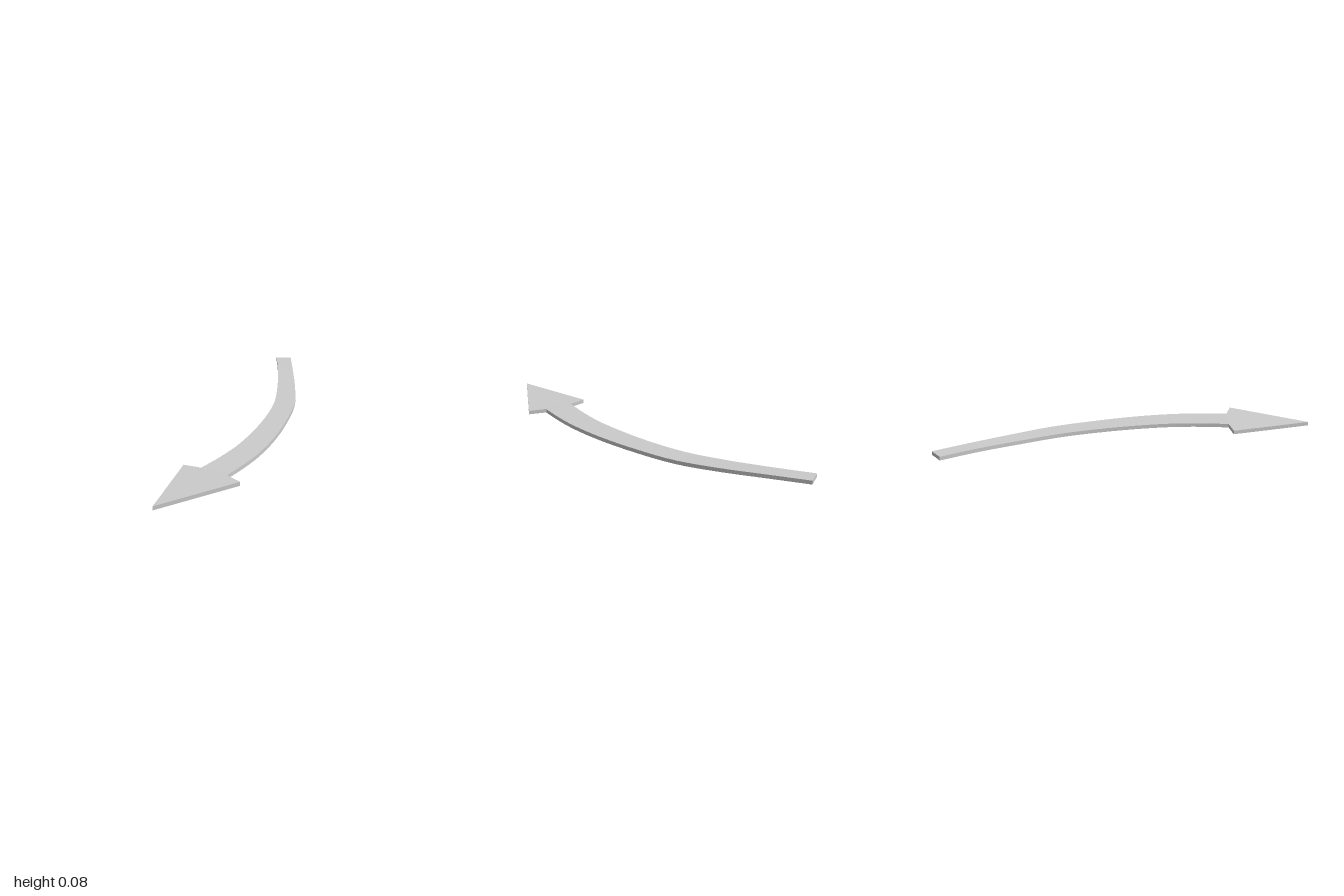
import * as THREE from 'three';
import { toCreasedNormals } from 'three/addons/utils/BufferGeometryUtils.js';

const THICK = 0.023;
const STEPS = 32;

// Stations from tail to neck: inner edge x, z, outer edge x, z, underside height
const STATIONS = [
  [0.925, -0.66, 1.0, -0.6, 0.06],
  [0.76, -0.46, 0.84, -0.4, 0.05],
  [0.59, -0.275, 0.675, -0.2, 0.038],
  [0.4, -0.09, 0.49, 0.0, 0.029],
  [0.2, 0.055, 0.27, 0.17, 0.024],
  [0.0, 0.173, 0.04, 0.32, 0.021],
  [-0.2, 0.27, -0.17, 0.428, 0.018],
  [-0.37, 0.328, -0.34, 0.492, 0.0155],
  [-0.535, 0.37, -0.49, 0.535, 0.0125],
];

// Curved, rising ribbon lofted between its two edges
function shaftGeometry() {
  const inner = new THREE.CatmullRomCurve3(STATIONS.map(([x, z, , , y]) => new THREE.Vector3(x, y, z)));
  const outer = new THREE.CatmullRomCurve3(STATIONS.map(([, , x, z, y]) => new THREE.Vector3(x, y, z)));
  const positions = [];
  const index = [];
  for (let i = 0; i <= STEPS; i++) {
    const a = inner.getPoint(i / STEPS);
    const b = outer.getPoint(i / STEPS);
    positions.push(a.x, a.y + THICK, a.z, b.x, b.y + THICK, b.z, b.x, b.y, b.z, a.x, a.y, a.z);
    if (i === STEPS) break;
    for (let k = 0; k < 4; k++) {
      const p = i * 4 + k;
      const q = i * 4 + ((k + 1) % 4);
      index.push(p, p + 4, q + 4, p, q + 4, q);
    }
  }
  index.push(0, 1, 2, 0, 2, 3); // tail end
  const geometry = new THREE.BufferGeometry();
  geometry.setAttribute('position', new THREE.Float32BufferAttribute(positions, 3));
  geometry.setIndex(index);
  return toCreasedNormals(geometry, Math.PI / 6);
}

// Barbed head, a flat plate sloping down to the tip
function headGeometry() {
  const outline = [[-1, 0.565], [-0.585, 0.275], [-0.535, 0.37], [-0.49, 0.535], [-0.49, 0.645]];
  const shape = new THREE.Shape(outline.map(([x, z]) => new THREE.Vector2(x, z)));
  const geometry = new THREE.ExtrudeGeometry(shape, { depth: THICK, bevelEnabled: false });
  geometry.rotateX(Math.PI / 2).translate(0, THICK, 0);
  const p = geometry.attributes.position;
  for (let i = 0; i < p.count; i++) p.setY(i, p.getY(i) + (p.getX(i) + 1) * 0.026);
  geometry.computeVertexNormals();
  return geometry;
}

export function createModel() {
  const group = new THREE.Group();
  group.name = 'curvedArrow';
  const material = new THREE.MeshStandardMaterial({ color: 0xcccccc });
  const shaft = new THREE.Mesh(shaftGeometry(), material);
  shaft.name = 'arrowShaft';
  const head = new THREE.Mesh(headGeometry(), material);
  head.name = 'arrowHead';
  group.add(shaft, head);
  return group;
}
